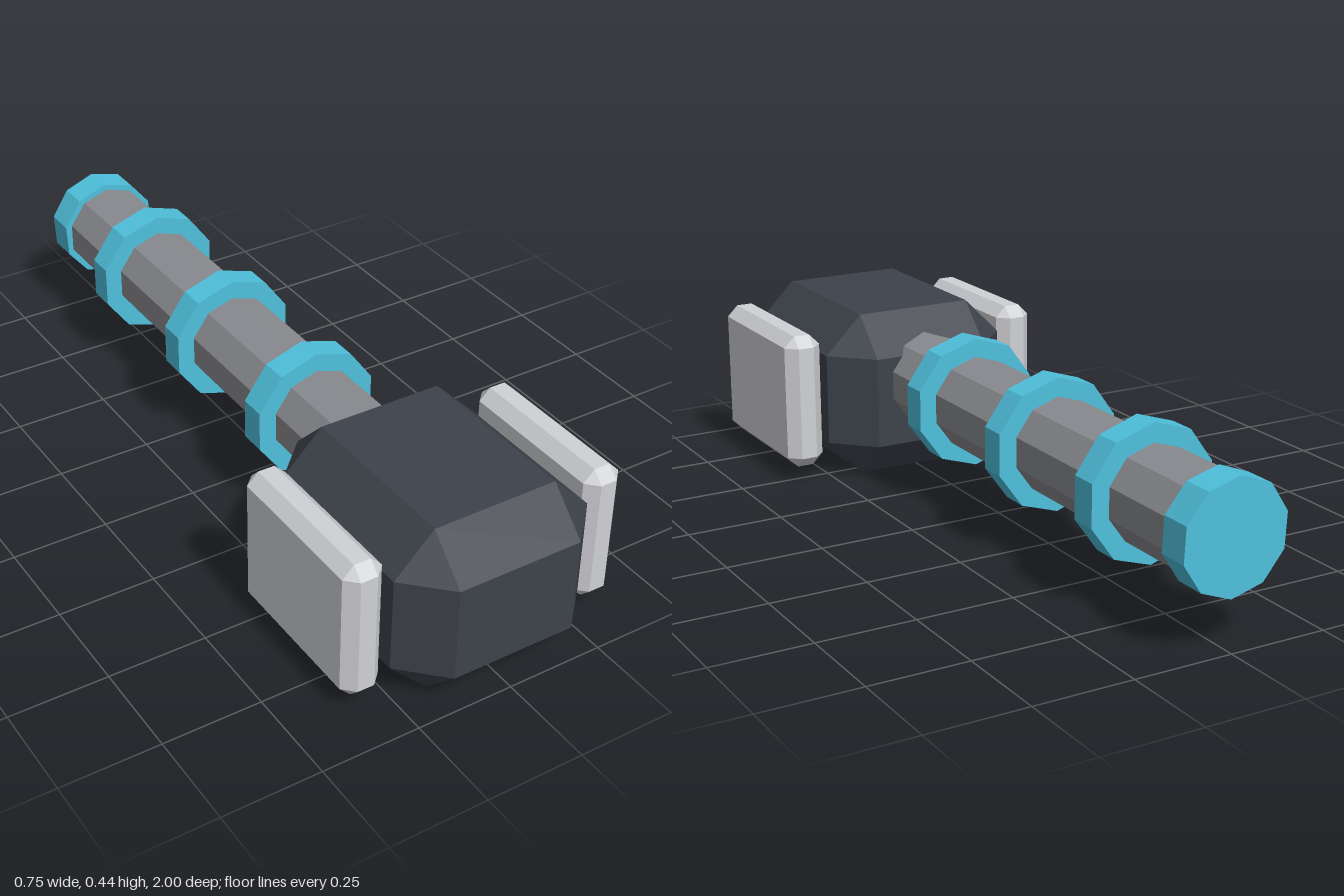
import * as THREE from 'three';
import { ConvexGeometry } from 'three/addons/geometries/ConvexGeometry.js';

const AXIS_Y = 0.267; // height of the handle axis

function material(name, color) {
  const m = new THREE.MeshStandardMaterial({ color, flatShading: true });
  m.name = name;
  return m;
}

// Box with every edge cut at 45 degrees and triangular corners
function chamferedBox(w, h, d, c) {
  const points = [];
  for (const sx of [-1, 1]) for (const sy of [-1, 1]) for (const sz of [-1, 1]) {
    for (let face = 0; face < 3; face++) {
      const [x, y, z] = [w, h, d].map((size, i) => size / 2 - (i === face ? 0 : c));
      points.push(new THREE.Vector3(sx * x, sy * y, sz * z));
    }
  }
  return new ConvexGeometry(points);
}

// Ten-sided bar lying along z
function decagonBar(radius, zBack, zFront, turn = 0) {
  const g = new THREE.CylinderGeometry(radius, radius, zFront - zBack, 10, 1, false, turn);
  g.rotateX(-Math.PI / 2);
  g.translate(0, AXIS_Y, (zBack + zFront) / 2);
  return g;
}

export function createModel() {
  const model = new THREE.Group();
  model.name = 'hammer';
  const charcoal = material('charcoal', 0x3d424a);
  const grey = material('grey', 0x8a8b90);
  const silver = material('silver', 0xd0d1d5);
  const teal = material('teal', 0x4fc0dc);

  const add = (name, geometry, mat, x = 0, y = 0, z = 0) => {
    const mesh = new THREE.Mesh(geometry, mat);
    mesh.name = name;
    mesh.position.set(x, y, z);
    model.add(mesh);
  };

  // Head block with a floating striking plate on each side
  add('head', chamferedBox(0.524, 0.445, 0.643, 0.101), charcoal, 0, 0.2225, 0.6785);
  const plate = chamferedBox(0.101, 0.363, 0.445, 0.029);
  add('leftPlate', plate, silver, 0.3225, 0.2225, 0.675);
  add('rightPlate', plate, silver, -0.3225, 0.2225, 0.675);

  // Handle, grip rings and end cap
  add('handle', decagonBar(0.122, -0.96, 0.5), grey);
  [0.151, -0.252, -0.655].forEach((z, i) => {
    add(`gripRing${i + 1}`, decagonBar(0.17, z - 0.035, z + 0.035), teal);
  });
  add('endCap', decagonBar(0.139, -1, -0.92, THREE.MathUtils.degToRad(-3)), teal);

  return model;
}
